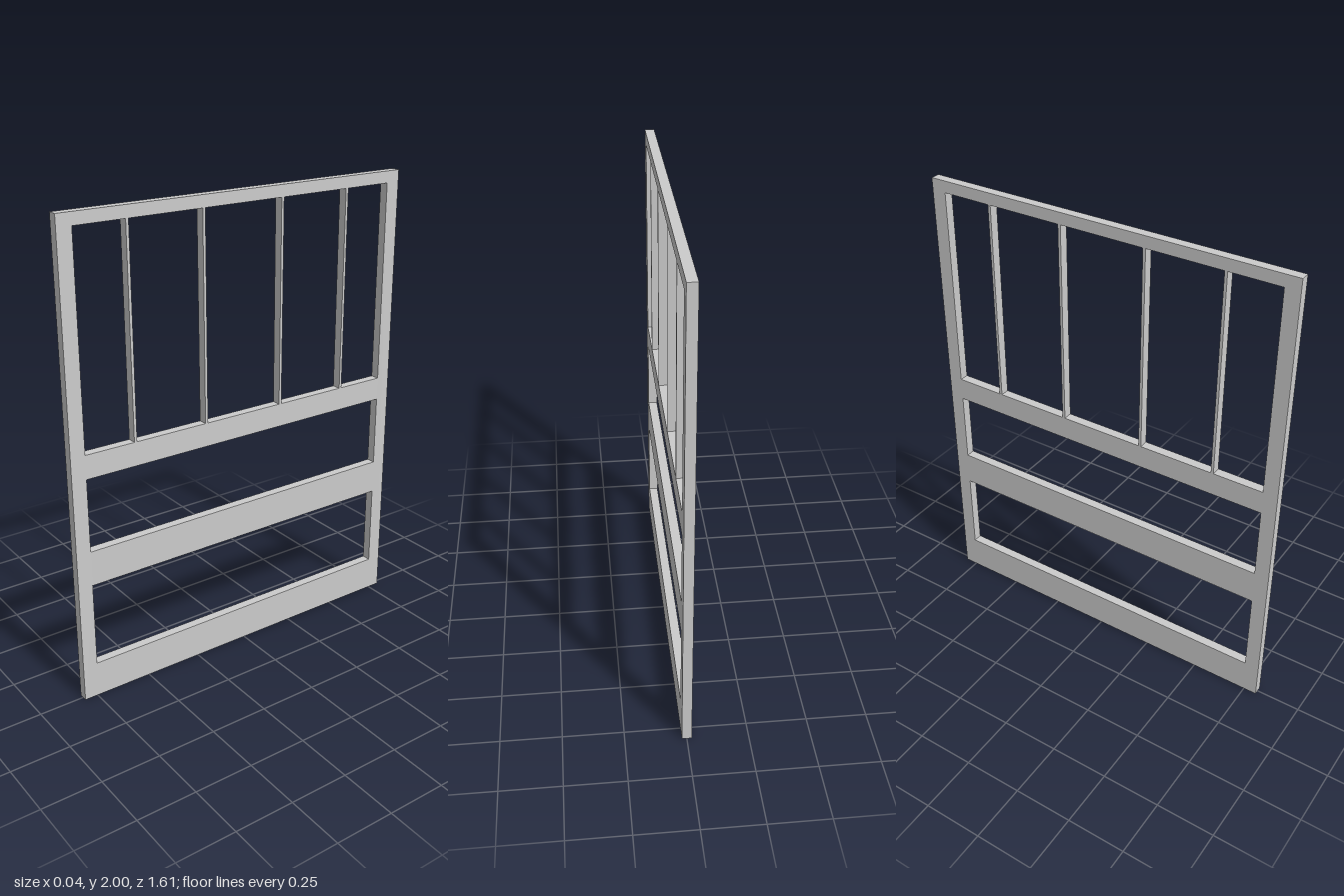
import * as THREE from 'three';

const THICKNESS = 0.04;
const HALF_WIDTH = 0.807;
const HALF_OPENING = 0.744;
const HEIGHT = 2;

// Adds a closed rectangle to a shape or path
function rectangle(path, halfWidth, bottom, top) {
  path.moveTo(-halfWidth, bottom);
  path.lineTo(halfWidth, bottom);
  path.lineTo(halfWidth, top);
  path.lineTo(-halfWidth, top);
  path.closePath();
  return path;
}

export function createModel() {
  const model = new THREE.Group();
  model.name = 'panelFrame';
  const material = new THREE.MeshStandardMaterial({ color: 0xcccccc });

  // Frame: stiles and rails around three openings
  const openings = [[0.153, 0.516], [0.666, 0.978], [1.079, 1.95]];
  const outline = rectangle(new THREE.Shape(), HALF_WIDTH, 0, HEIGHT);
  for (const [bottom, top] of openings) {
    outline.holes.push(rectangle(new THREE.Path(), HALF_OPENING, bottom, top));
  }
  const frameGeometry = new THREE.ExtrudeGeometry(outline, { depth: THICKNESS, bevelEnabled: false });
  frameGeometry.translate(0, 0, -THICKNESS / 2).rotateY(-Math.PI / 2);
  const frame = new THREE.Mesh(frameGeometry, material);
  frame.name = 'frame';
  model.add(frame);

  // Thin upright bars in the top opening
  const [barBottom, barTop] = openings[2];
  const barGeometry = new THREE.BoxGeometry(THICKNESS, barTop - barBottom, 0.012);
  const bars = new THREE.Group();
  bars.name = 'uprightBars';
  for (const side of [1, -1]) {
    for (const z of [0.188, 0.522]) {
      const bar = new THREE.Mesh(barGeometry, material);
      bar.name = 'uprightBar';
      bar.position.set(0, (barBottom + barTop) / 2, side * z);
      bars.add(bar);
    }
  }
  model.add(bars);
  return model;
}
